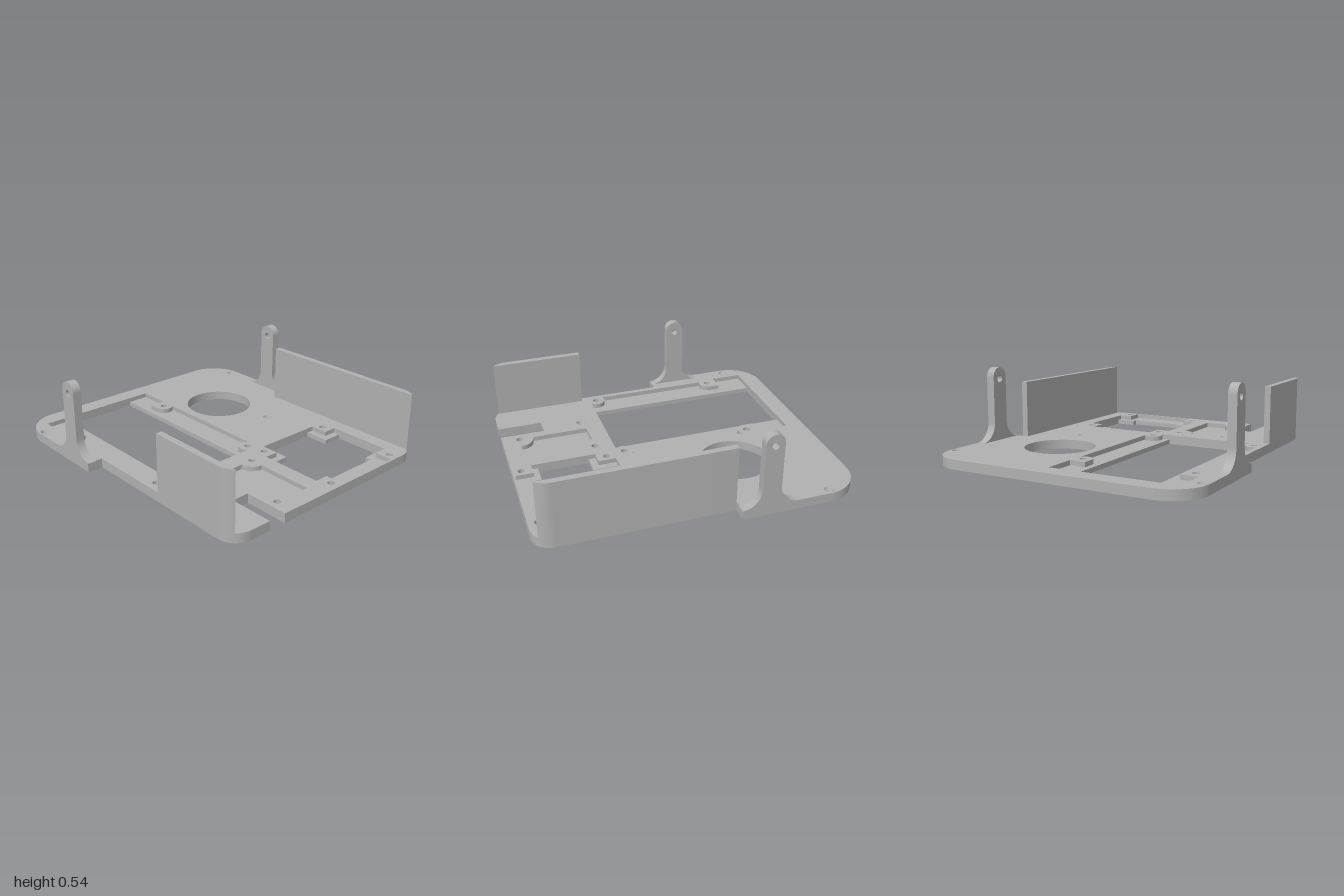
import * as THREE from 'three';
import { toCreasedNormals } from 'three/addons/utils/BufferGeometryUtils.js';

const PI = Math.PI;
const T = 0.06;       // plate thickness
const FLOOR = 0.03;   // height of the recess floors

const poly = (pts) => new THREE.Path(pts.map(([x, z]) => new THREE.Vector2(x, z)));
const circle = ([x, z], r) => new THREE.Path().absarc(x, z, r, 0, 2 * PI, false);

const screwHoles = [[-0.6, -0.02], [0.265, -0.02], [-0.6, 0.71], [0.265, 0.71],
  [0.39, -0.595], [0.94, -0.595], [0.39, -0.045], [0.94, -0.045], [0.43, 0.1], [0.885, 0.34]];
const sunkHoles = [[-0.78, -0.835], [-0.78, 0.835], [0.025, -0.44], [0.445, 0.43]];

// Plan outline with rounded corners, a side slot and a narrower right part
function plateOutline() {
  const s = new THREE.Shape();
  s.moveTo(-0.775, -0.875).lineTo(-0.2, -0.875).lineTo(-0.2, -0.775);
  s.absarc(0.875, -0.65, 0.125, -PI / 2, 0, false);
  s.lineTo(1, 0.4).lineTo(0.71, 0.4).lineTo(0.71, 0.515).lineTo(1, 0.515);
  s.absarc(0.875, 0.65, 0.125, 0, PI / 2, false);
  s.lineTo(-0.2, 0.775).lineTo(-0.2, 0.875);
  s.absarc(-0.775, 0.65, 0.225, PI / 2, PI, false);
  s.absarc(-0.775, -0.65, 0.225, PI, 1.5 * PI, false);
  return s;
}

// Large recess that leaves four screw bosses standing
function trayRecess() {
  const p = new THREE.Path();
  p.moveTo(-0.88, -0.065).lineTo(-0.67, -0.065).lineTo(-0.67, 0.04);
  p.absarc(-0.6, -0.02, 0.06, PI / 2, -0.84, true);
  p.absarc(0.265, -0.02, 0.06, -2.3, 0.73 - 2 * PI, true);
  p.absarc(0.265, 0.71, 0.06, -0.73, -3.67, true);
  p.absarc(-0.6, 0.71, 0.06, 0.52, -PI / 2, true);
  p.lineTo(-0.67, 0.65).lineTo(-0.67, 0.76).lineTo(-0.88, 0.76);
  return p;
}

// Small pocket with two corners cut round its screws
function pocketRecess() {
  const p = new THREE.Path();
  p.moveTo(0.515, 0.1).lineTo(0.89, 0.1).lineTo(0.89, 0.25);
  p.absarc(0.885, 0.34, 0.09, -PI / 2, -PI, true);
  p.lineTo(0.43, 0.34);
  p.absarc(0.43, 0.1, 0.085, PI / 2, 0, true);
  return p;
}

const extrude = (shape, depth) =>
  new THREE.ExtrudeGeometry(shape, { depth, bevelEnabled: false, curveSegments: 24 });

// Extrude a plan (x, z) shape upwards from y0 to y1
const slab = (shape, y0, y1) =>
  toCreasedNormals(extrude(shape, y1 - y0).rotateX(PI / 2).translate(0, y1, 0), 0.5);

export function createModel() {
  const model = new THREE.Group();
  const grey = new THREE.MeshStandardMaterial({ color: 0xb0b0b0, side: THREE.DoubleSide });
  grey.name = 'grey plastic';
  const add = (name, geometry) => {
    const m = new THREE.Mesh(geometry, grey);
    m.name = name;
    model.add(m);
    return m;
  };

  // Lower layer: through openings only
  const lower = plateOutline();
  lower.holes.push(
    poly([[-0.88, 0.08], [0.31, 0.08], [0.31, 0.59], [-0.88, 0.59]]),
    poly([[0.5, -0.64], [0.83, -0.64], [0.83, -0.505], [0.87, -0.505], [0.87, -0.135], [0.83, -0.135],
      [0.83, 0], [0.5, 0], [0.5, -0.135], [0.34, -0.135], [0.34, -0.505], [0.5, -0.505]]),
    circle([-0.375, -0.345], 0.225),
    ...screwHoles.map((h) => circle(h, 0.022)),
    ...sunkHoles.map((h) => circle(h, 0.018)));
  add('plateLowerLayer', slab(lower, 0, FLOOR));

  // Upper layer: wider recesses
  const upper = plateOutline();
  upper.holes.push(
    trayRecess(), pocketRecess(),
    poly([[0.455, -0.64], [0.87, -0.64], [0.87, -0.55], [0.985, -0.55], [0.985, -0.09], [0.87, -0.09],
      [0.87, 0], [0.455, 0], [0.455, -0.09], [0.34, -0.09], [0.34, -0.55], [0.455, -0.55]]),
    circle([-0.375, -0.345], 0.225),
    ...screwHoles.map((h) => circle(h, 0.022)),
    ...sunkHoles.map((h) => circle(h, 0.03)));
  add('plateUpperLayer', slab(upper, FLOOR, T));

  // Conical countersinks
  for (const [x, z] of sunkHoles) {
    add('countersink', new THREE.CylinderGeometry(0.03, 0.018, T - FLOOR, 24, 1, true))
      .position.set(x, (T + FLOOR) / 2, z);
  }

  // Side walls, following the rounded plate corners
  const wall = (name, x0, side) => {
    const s = new THREE.Shape();
    const a = Math.asin(0.085 / 0.125);
    s.moveTo(x0, side * 0.735).lineTo(x0, side * 0.775);
    s.absarc(0.875, side * 0.65, 0.125, side * PI / 2, side * a, side > 0);
    add(name, slab(s, T, 0.43));
  };
  wall('backWall', -0.2, -1);
  wall('frontWall', 0.365, 1);

  // Pivot arms with flared feet and a pin hole
  const arm = new THREE.Shape();
  arm.moveTo(-0.555, T).lineTo(-0.195, T);
  arm.absarc(-0.195, T + 0.12, 0.12, -PI / 2, -PI, true);
  arm.absarc(-0.375, 0.48, 0.06, 0, PI, false);
  arm.absarc(-0.555, T + 0.12, 0.12, 0, -PI / 2, true);
  arm.holes.push(circle([-0.375, 0.465], 0.023));
  const armGeometry = toCreasedNormals(extrude(arm, 0.055), 0.5);
  add('frontArm', armGeometry).position.z = 0.82;
  add('backArm', armGeometry).position.z = -0.875;

  return model;
}
